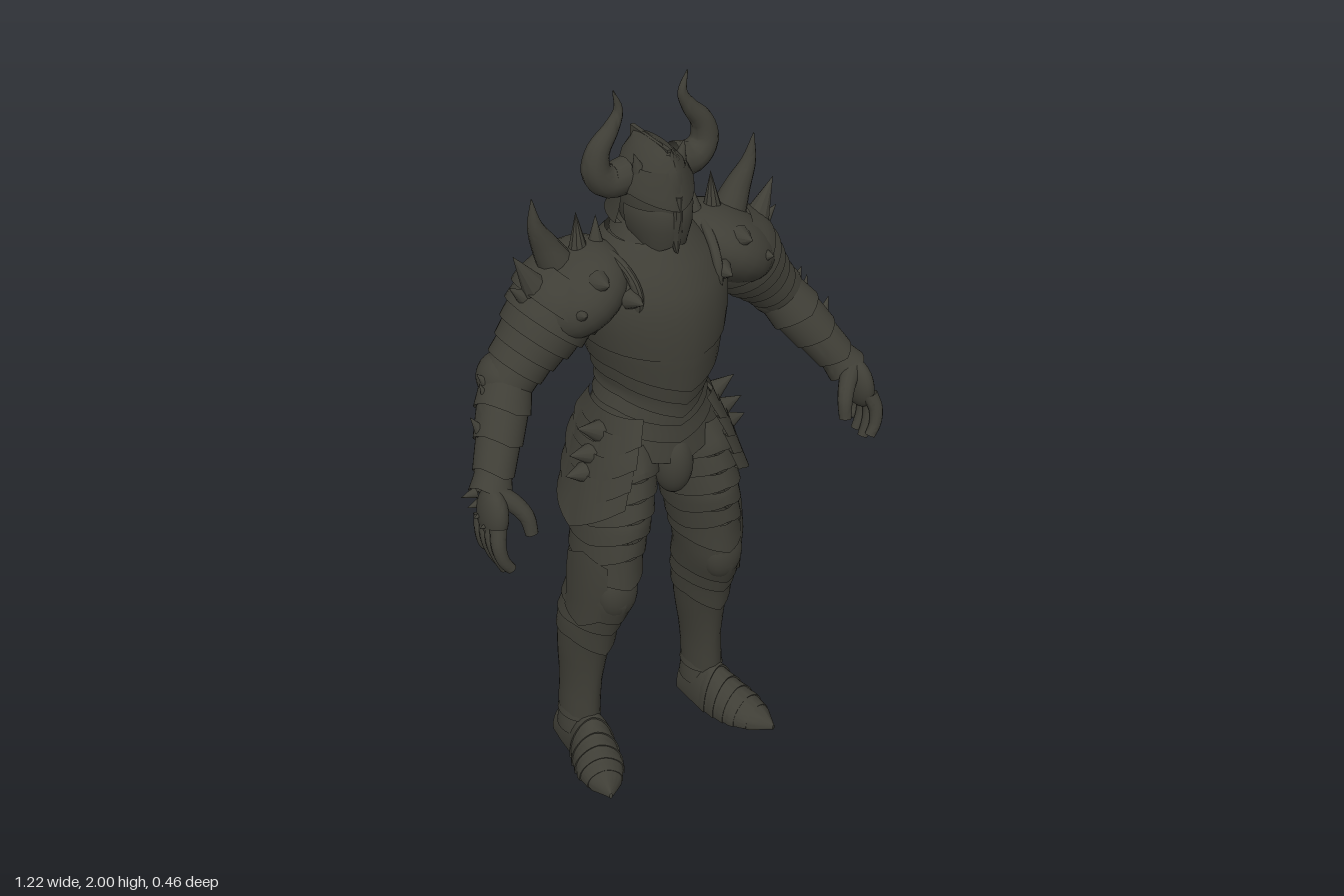
import * as THREE from 'three';
import { toCreasedNormals } from 'three/addons/utils/BufferGeometryUtils.js';

const steel = new THREE.MeshStandardMaterial({ color: 0x3f3e36, side: THREE.DoubleSide });
steel.name = 'dark steel';
const V = (p) => new THREE.Vector3(...p);

function add(parent, name, geo, crease = 0.6) {
  const m = new THREE.Mesh(toCreasedNormals(geo, crease), steel);
  m.name = name;
  parent.add(m);
  return m;
}

// Skin over rings listed top to bottom: [y, rx, rz, cx, cz, dip]; back below 1 squares off the rear
function loft(rings, { a0 = -Math.PI, a1 = Math.PI, n = 32, keel = 0, width = 1.2, floor = -9, back = 1 } = {}) {
  const pos = [], idx = [], mid = (a0 + a1) / 2;
  for (const [y, rx, rz, cx = 0, cz = 0, dip = 0] of rings) {
    for (let i = 0; i <= n; i++) {
      const a = a0 + (a1 - a0) * i / n, off = Math.abs(a - mid), c = Math.cos(a);
      const k = 1 + keel * Math.max(0, 1 - off / 0.7);
      pos.push(cx + rx * k * Math.sin(a), y - dip * Math.max(0, 1 - off / width),
        Math.max(floor, cz + rz * k * (c < 0 ? -((-c) ** back) : c)));
    }
  }
  for (let j = 0; j < rings.length - 1; j++) for (let i = 0; i < n; i++) {
    const a = j * (n + 1) + i, b = a + n + 1;
    idx.push(a, b, a + 1, a + 1, b, b + 1);
  }
  const g = new THREE.BufferGeometry();
  g.setAttribute('position', new THREE.Float32BufferAttribute(pos, 3));
  g.setIndex(idx);
  return g;
}

// Ring of a body profile at height y
function sample(keys, y) {
  let i = 0;
  while (i < keys.length - 2 && y < keys[i + 1][0]) i++;
  const t = THREE.MathUtils.clamp((keys[i][0] - y) / (keys[i][0] - keys[i + 1][0]), 0, 1);
  return [1, 2, 3, 4].map((c) => THREE.MathUtils.lerp(keys[i][c] || 0, keys[i + 1][c] || 0, t));
}

// Overlapping flared plates that follow a profile
function lames(parent, name, keys, edges, { flare = 0.06, dip = 0, lap = 0.015, ...opt } = {}) {
  for (let k = 0; k < edges.length - 1; k++) {
    const top = edges[k] + (k ? lap : 0), rings = [];
    for (let s = 0; s <= 5; s++) {
      const t = s / 5, y = THREE.MathUtils.lerp(top, edges[k + 1], t);
      const [rx, rz, cx, cz] = sample(keys, y), f = 1 + flare * (t - 0.4);
      rings.push([y, rx * f, rz * f, cx, cz, dip * t]);
    }
    const [y, rx, rz, cx, cz] = rings[5];
    rings.push([y + 0.003, rx * 0.88, rz * 0.88, cx, cz, dip]);
    add(parent, name, loft(rings, opt));
  }
}

// Group whose local -y runs from a to b
function along(parent, name, a, b) {
  const g = new THREE.Group();
  g.name = name;
  g.position.copy(V(a));
  g.quaternion.setFromUnitVectors(V([0, -1, 0]), V(b).sub(V(a)).normalize());
  parent.add(g);
  return g;
}

function spike(parent, name, base, tip, r) {
  const d = V(tip).sub(V(base)), g = new THREE.ConeGeometry(r, d.length(), 10);
  g.translate(0, d.length() / 2, 0);
  const m = add(parent, name, g);
  m.position.copy(V(base));
  m.quaternion.setFromUnitVectors(V([0, 1, 0]), d.normalize());
}

// Curved tube whose radius shrinks to the given end share
function horn(parent, name, pts, r, end = 0.03, power = 1) {
  const curve = new THREE.CatmullRomCurve3(pts.map(V)), n = 24, m = 12;
  const g = new THREE.TubeGeometry(curve, n, r, m), p = g.attributes.position, v = new THREE.Vector3();
  for (let i = 0; i < p.count; i++) {
    const t = Math.floor(i / (m + 1)) / n, c = curve.getPointAt(t);
    v.fromBufferAttribute(p, i).sub(c).multiplyScalar(1 - (1 - end) * t ** power).add(c);
    p.setXYZ(i, v.x, v.y, v.z);
  }
  add(parent, name, g, 1);
}

function ball(parent, name, c, r, rot = [0, 0, 0]) {
  const m = add(parent, name, new THREE.SphereGeometry(1, 24, 16), 1);
  m.position.copy(V(c));
  m.scale.copy(V(r));
  m.rotation.set(...rot);
}

function buildTrunk(g) {
  const body = [[1.62, .08, .085, 0, -.02], [1.57, .15, .13, 0, -.02], [1.5, .195, .172, 0, -.012], [1.42, .2, .182, 0, -.004],
    [1.34, .186, .177, 0, .002], [1.26, .158, .158], [1.18, .133, .137, 0, -.012], [1.1, .15, .14, 0, -.015],
    [1.02, .18, .145, 0, -.014], [.94, .18, .13, 0, -.012]];
  lames(g, 'breastplate', body, [1.6, 1.33], { keel: .05, dip: .02, flare: .04, back: .75 });
  lames(g, 'abdomenPlate', body, [1.37, 1.27, 1.22, 1.17], { keel: .07, dip: .06, flare: .1, back: .85 });
  lames(g, 'fauld', body, [1.19, 1.13, 1.08, 1.02], { dip: .05, flare: .1 });
  add(g, 'hips', loft([[1.04, .165, .135, 0, -.015], [.95, .155, .115, 0, -.02], [.89, .09, .085, 0, -.01], [.86, 0, 0]]));
  ball(g, 'codpiece', [0, .952, .095], [.054, .093, .058]);
  // Neck and gorget
  lames(g, 'gorget', [[1.66, .065, .07, 0, -.02], [1.56, .115, .115, 0, -.01], [1.5, .155, .165]],
    [1.66, 1.6, 1.55], { dip: .05, flare: .12 });
  // Helmet skull, brow, mask and neck guard
  add(g, 'helmet', loft([[1.85, 0, .04], [1.838, .03, .08], [1.8, .066, .1], [1.75, .083, .11],
    [1.7, .084, .108], [1.65, .08, .098, 0, 0, .01], [1.61, .07, .088, 0, .003, .02], [1.6, .05, .07, 0, .003, .02]],
  { keel: .08 }));
  add(g, 'brow', loft([[1.8, .072, .1], [1.755, .094, .117, 0, 0, .03], [1.735, .096, .12, 0, 0, .035],
    [1.735, .08, .1, 0, 0, .035]], { a0: -1.4, a1: 1.4, keel: .06 }));
  for (const s of [1, -1]) {
    add(g, 'cheekPlate', loft([[1.7, .09, .11], [1.685, .093, .117], [1.64, .088, .114, 0, .004],
      [1.605, .068, .1, 0, .008, .025], [1.61, .055, .085, 0, .008, .025]],
    { a0: s > 0 ? .14 : -1.5, a1: s > 0 ? 1.5 : -.14, n: 14, width: 1 }));
  }
  add(g, 'noseGuard', loft([[1.74, .012, .02, 0, .108], [1.68, .013, .02, 0, .108], [1.63, .02, .014, 0, .102],
    [1.58, .004, .008, 0, .108]], { n: 8 }));
  add(g, 'neckGuard', loft([[1.73, .086, .112], [1.67, .094, .124, 0, -.005], [1.635, .102, .145, 0, -.01],
    [1.638, .088, .12]], { a0: 1.6, a1: Math.PI * 2 - 1.6 }));
  spike(g, 'browPoint', [0, 1.79, .085], [0, 1.855, .085], .018);
  add(g, 'crest', new THREE.BoxGeometry(.012, .03, .17)).position.set(0, 1.833, -.01);
}

function buildLeg(g) {
  const leg = [[1.06, .1, .12, .1, -.02], [.95, .108, .14, .117, -.01], [.8, .1, .128, .137, .01],
    [.68, .088, .115, .154, .013], [.58, .083, .112, .168, .012], [.5, .081, .1, .178, -.018],
    [.45, .081, .092, .184, -.035], [.35, .072, .079, .191, -.053], [.25, .055, .071, .197, -.06],
    [.15, .05, .066, .203, -.06], [.08, .056, .066, .204, -.06]];
  lames(g, 'thighPlate', leg, [1.04, .93, .87, .81, .75, .69], { dip: -.035, flare: .1, keel: .05 });
  lames(g, 'kneeBand', leg, [.71, .65, .52, .47], { dip: .03, flare: .1, keel: .05 });
  lames(g, 'greave', leg, [.49, .41, .13], { dip: .05, flare: .07, keel: .08 });
  lames(g, 'ankleBand', leg, [.15, .11, .06], { flare: .1 });
  // Kneecap with its pointed side wing
  ball(g, 'kneecap', [.168, .59, .082], [.06, .085, .05]);
  add(g, 'kneeWing', loft([[.69, .088, .112, .167, .01, -.04], [.64, .094, .115, .167, .01], [.56, .09, .11, .17, .005],
    [.51, .088, .1, .177, 0, .03]], { a0: .5, a1: 1.9, n: 14, width: .7 }));
  ball(g, 'buttock', [.085, .96, -.072], [.085, .1, .085]);
  // Hip plates ending in a point, with a row of spikes down the outside
  const hip = [[1.12, .095, .13, .07, -.01], [1.02, .115, .15, .1, -.01], [.92, .125, .142, .127, 0], [.86, .133, .13, .143, .01]];
  lames(g, 'hipPlate', hip, [1.12, 1.06, 1.0, .94, .885], { a0: .3, a1: 2.6, n: 20, dip: .08, flare: .12, width: 1.1 });
  [[.17, 1.06, .243, 1.095], [.195, 1.0, .268, 1.02], [.215, .95, .28, .96]].forEach(([x, y, tx, ty]) =>
    spike(g, 'hipSpike', [x, y, .015], [tx, ty, .02], .033));
  // Pointed foot armour, lofted heel to toe
  const foot = new THREE.Group();
  foot.name = 'foot';
  foot.position.set(.205, 0, 0);
  foot.rotation.set(0, .3, 0);
  const lie = new THREE.Group();
  lie.rotation.x = -Math.PI / 2;
  foot.add(lie);
  g.add(foot);
  const sole = [[.13, .03, .05, .03], [.115, .052, .08, .028], [.06, .057, .112, .015], [0, .06, .118, 0],
    [-.05, .066, .085, 0], [-.11, .066, .058, 0], [-.17, .044, .034, 0], [-.22, .004, .008, 0]];
  add(lie, 'boot', loft([[.13, 0, 0, .03, .03], ...sole.map((s) => [...s, .012])], { floor: 0, keel: .06 }));
  lames(lie, 'footPlate', sole.map((s) => [...s, .012]), [.02, -.02, -.055, -.09, -.125, -.16],
    { floor: 0, flare: .1, keel: .06, lap: .008, a0: -1.75, a1: 1.75 });
}

function buildArm(g) {
  const S = [.215, 1.51, -.035], E = [.412, 1.275, -.035], W = [.542, 1.07, .1];
  // Shoulder dome with a raised inner rim
  ball(g, 'pauldron', [.222, 1.485, -.025], [.148, .096, .155], [0, 0, -.58]);
  const rim = add(g, 'pauldronRim', new THREE.TorusGeometry(.12, .013, 10, 40), 1);
  rim.position.set(.15, 1.48, -.02);
  rim.rotation.set(0, 1.35, 0);
  rim.scale.set(1.2, .85, 1);
  const upper = along(g, 'upperArm', S, E);
  lames(upper, 'armPlate', [[.02, .1, .13], [-.06, .112, .136], [-.13, .103, .118], [-.22, .08, .088], [-.32, .062, .068]],
    [0, -.09, -.135, -.18, -.225, -.27, -.31], { flare: .13 });
  ball(g, 'elbow', [.412, 1.275, -.042], [.075, .07, .078], [0, 0, .5]);
  const fore = along(g, 'forearm', E, W);
  lames(fore, 'forearmPlate', [[0, .066, .07], [-.08, .068, .07], [-.18, .056, .058], [-.25, .048, .05], [-.31, .054, .056]],
    [.01, -.08, -.16, -.24, -.29], { flare: .13, dip: .02 });
  // Shoulder horn and spikes
  horn(g, 'shoulderHorn', [[.25, 1.54, -.04], [.285, 1.61, -.045], [.316, 1.68, -.04], [.327, 1.757, -.035]], .05, .03, 1.15);
  const spikes = [[[.2, 1.565, -.03], [.2, 1.685, -.04], .03], [[.15, 1.56, -.03], [.143, 1.66, -.04], .028],
    [[.33, 1.52, -.02], [.387, 1.62, -.03], .036], [[.34, 1.48, -.03], [.4, 1.535, -.03], .03],
    [[.21, 1.545, .08], [.212, 1.56, .135], .032], [[.135, 1.49, .11], [.132, 1.497, .165], .028],
    [[.27, 1.48, .09], [.28, 1.495, .135], .026], [[.16, 1.49, -.14], [.145, 1.495, -.238], .03],
    [[.2, 1.54, -.11], [.22, 1.56, -.2], .03], [[.28, 1.46, -.12], [.29, 1.47, -.18], .026]];
  spikes.forEach(([b, t, r]) => spike(g, 'shoulderSpike', b, t, r));
  [[[.45, 1.255, -.02], [.495, 1.315, -.04], .03], [[.47, 1.21, 0], [.5, 1.3, -.02], .026],
    [[.51, 1.165, .03], [.548, 1.235, .015], .026]].forEach(([b, t, r]) => spike(g, 'forearmSpike', b, t, r));
  for (let k = 0; k < 4; k++) spike(g, 'wristSpike', [.57, 1.05 - k * .014, .07 + k * .027], [.61, 1.045 - k * .014, .065 + k * .03], .016);
  // Hand with bent fingers
  ball(g, 'palm', [.563, 1.025, .14], [.034, .072, .058], [-.2, 0, .1]);
  [.895, .878, .884, .91].forEach((y, k) => horn(g, 'finger', [[.572, 1.005, .182 - k * .027], [.582, .965, .199 - k * .028],
    [.575, .925, .208 - k * .03], [.556, y, .212 - k * .031]], .022, .65));
  horn(g, 'thumb', [[.55, 1.075, .13], [.512, 1.045, .16], [.49, 1.01, .183], [.484, .965, .195]], .028, .6);
}

// Bake a mirrored copy with the corner order restored
function mirror(src) {
  const out = new THREE.Group(), flip = new THREE.Matrix4().makeScale(-1, 1, 1);
  src.updateMatrixWorld(true);
  src.traverse((o) => {
    if (!o.isMesh) return;
    const geo = o.geometry.clone().applyMatrix4(flip.clone().multiply(o.matrixWorld));
    for (const key of ['position', 'normal']) {
      const a = geo.attributes[key], p = new THREE.Vector3(), q = new THREE.Vector3();
      for (let i = 0; i < a.count; i += 3) {
        p.fromBufferAttribute(a, i + 1);
        q.fromBufferAttribute(a, i + 2);
        a.setXYZ(i + 1, q.x, q.y, q.z);
        a.setXYZ(i + 2, p.x, p.y, p.z);
      }
    }
    add(out, o.name, geo).geometry = geo;
  });
  return out;
}

export function createModel() {
  const model = new THREE.Group(), left = new THREE.Group(), trunk = new THREE.Group();
  model.name = 'armouredKnight';
  trunk.name = 'trunk';
  left.name = 'leftSide';
  buildTrunk(trunk);
  buildLeg(left);
  buildArm(left);
  // Helmet horn
  horn(left, 'helmetHorn', [[.07, 1.765, -.01], [.125, 1.762, -.01], [.157, 1.795, -.01], [.152, 1.85, -.01],
    [.115, 1.9, -.01], [.093, 1.945, -.01], [.107, 2, -.01]], .047, .04, 1.4);
  spike(left, 'helmetSpike', [.06, 1.79, .03], [.074, 1.84, .03], .018);
  const right = mirror(left);
  right.name = 'rightSide';
  model.add(trunk, left, right);
  return model;
}
